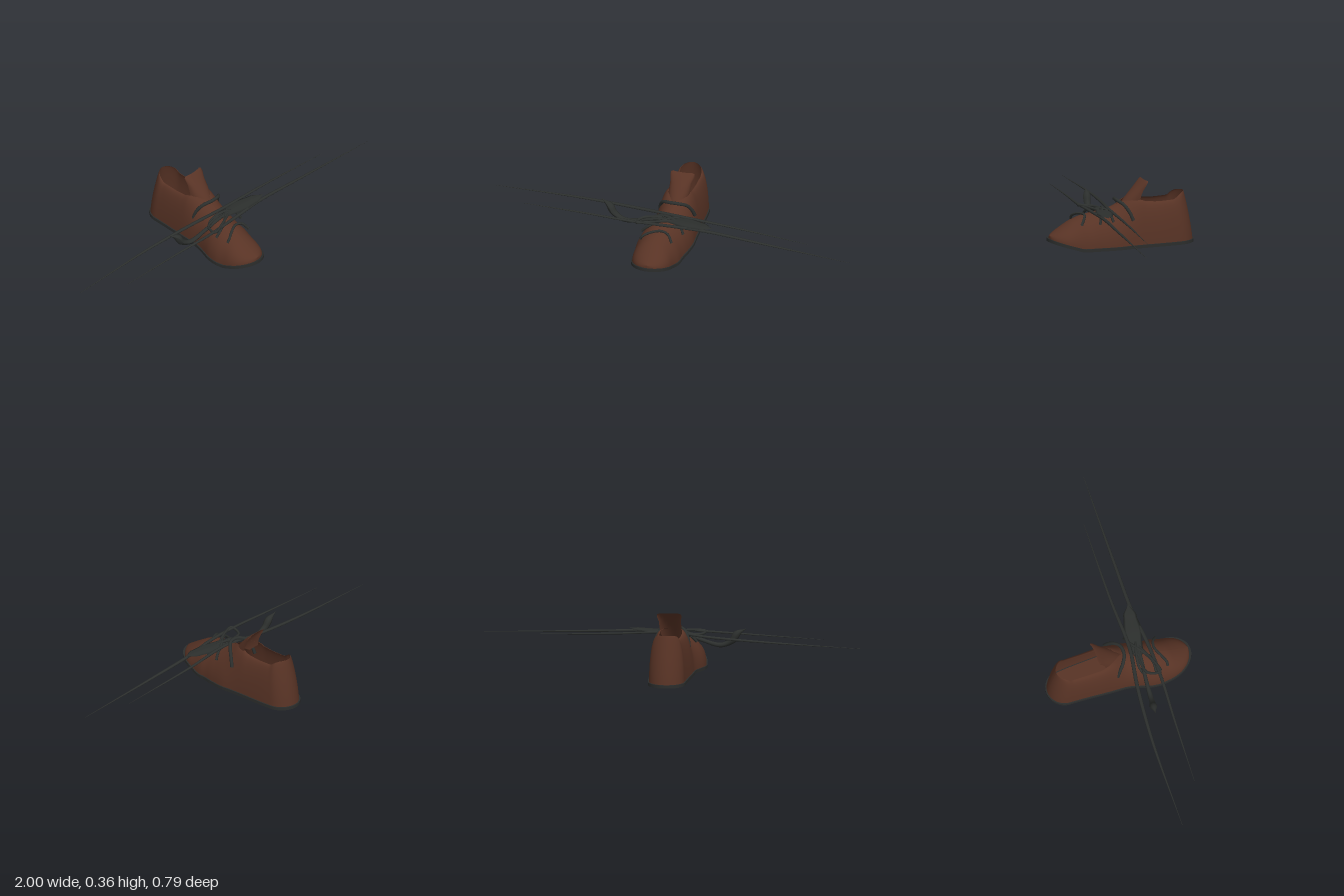
import * as THREE from 'three';

const mat = (color, flatShading = false) =>
  new THREE.MeshStandardMaterial({ color, flatShading, roughness: 0.9, side: THREE.DoubleSide });

// smooth interpolation through [z, value] pairs with rising z
function table(pairs, smooth = true) {
  return (z) => {
    let i = 0;
    while (i < pairs.length - 2 && z > pairs[i + 1][0]) i++;
    const [a, va] = pairs[i], [b, vb] = pairs[i + 1];
    const t = THREE.MathUtils.clamp((z - a) / (b - a), 0, 1);
    return va + (vb - va) * (smooth ? t * t * (3 - 2 * t) : t);
  };
}

// surface through rows of [x, y, z] points
function sheet(name, rows, material) {
  const n = rows[0].length, index = [];
  for (let i = 0; i < rows.length - 1; i++)
    for (let j = 0; j < n - 1; j++) {
      const a = i * n + j, b = a + n;
      index.push(a, b, a + 1, b, b + 1, a + 1);
    }
  const geo = new THREE.BufferGeometry();
  geo.setAttribute('position', new THREE.Float32BufferAttribute(rows.flat(2), 3));
  geo.setIndex(index);
  geo.computeVertexNormals();
  const mesh = new THREE.Mesh(geo, material);
  mesh.name = name;
  return mesh;
}

// tube along points; size(t) gives its radius, flat squashes it vertically
function lace(name, points, size, material, flat = 1) {
  const curve = new THREE.CatmullRomCurve3(points.map((p) => new THREE.Vector3(...p)));
  const seg = 40, sides = 8;
  const geo = new THREE.TubeGeometry(curve, seg, 1, sides);
  const pos = geo.attributes.position, v = new THREE.Vector3();
  for (let i = 0; i < pos.count; i++) {
    const t = Math.floor(i / (sides + 1)) / seg, c = curve.getPointAt(t);
    v.fromBufferAttribute(pos, i).sub(c).multiplyScalar(size(t));
    v.y *= flat;
    v.add(c);
    pos.setXYZ(i, v.x, v.y, v.z);
  }
  geo.computeVertexNormals();
  const mesh = new THREE.Mesh(geo, material);
  mesh.name = name;
  return mesh;
}

// plan outline and side profile of the shoe
const centre = table([[-0.3, 0], [0, -0.013], [0.2, -0.052], [0.28, -0.06], [0.4, -0.06]]);
const half = table([[-0.4, 0.086], [-0.25, 0.096], [0, 0.11], [0.13, 0.124], [0.2, 0.122], [0.28, 0.107], [0.4, 0.1]], false);
const sole = table([[-0.39, 0.012], [0, 0.01], [0.235, 0.003], [0.396, 0.05]], false);
const top = table([[-0.39, 0.284], [-0.36, 0.28], [-0.32, 0.268], [-0.28, 0.25], [-0.18, 0.245], [-0.11, 0.25],
  [-0.085, 0.262], [-0.04, 0.262], [0, 0.25], [0.05, 0.222], [0.1, 0.203], [0.22, 0.175], [0.27, 0.153], [0.385, 0.08]], false);
const opening = table([[-0.4, 0.058], [-0.09, 0.058], [-0.03, 0.035], [0.02, 0]], false);

const roundEnds = (z, back, front) => {
  const d = z < -0.3 ? (-0.3 - z) / (-0.3 - back) : z > 0.27 ? (z - 0.27) / (front - 0.27) : 0;
  return Math.sqrt(Math.max(0, 1 - d * d));
};

// stations packed closer at heel and toe
function stations(back, front, n, row) {
  return Array.from({ length: n + 1 }, (_, i) => {
    const z = back + (front - back) * (1 - Math.cos((Math.PI * i) / n)) / 2;
    return row(z, roundEnds(z, back, front));
  });
}

export function createModel() {
  const group = new THREE.Group();
  group.name = 'lacedShoe';
  const leather = mat(0x583325), edge = mat(0x2b2d2c, true), cord = mat(0x2c2f2d);

  // sole: dark welt, leather underside and insole
  const T = 0.017;
  group.add(sheet('welt', stations(-0.393, 0.397, 48, (z, f) => {
    const c = centre(z), w = (half(z) + 0.006) * f, y = sole(z);
    return [[c - w, y, z], [c - w, y + T, z], [c + w, y + T, z], [c + w, y, z]];
  }), edge));
  group.add(sheet('outsole', stations(-0.393, 0.397, 48, (z, f) => {
    const c = centre(z), w = (half(z) + 0.006) * f;
    return [[c - w, sole(z), z], [c + w, sole(z), z]];
  }), mat(0x4a2b1f)));
  group.add(sheet('insole', stations(-0.38, 0.37, 40, (z, f) => {
    const c = centre(z), w = (half(z) - 0.006) * f, y = sole(z) + T + 0.004;
    return [[c - w, y, z], [c + w, y, z]];
  }), leather));

  // upper: one wall per side, meeting over the vamp and at the heel
  for (const s of [-1, 1]) {
    const rows = stations(-0.388, 0.385, 64, (z, f) => {
      const c = centre(z), w = half(z) * f, r = opening(z) * f;
      const y0 = sole(z) + T - 0.002, y1 = top(z), row = [];
      const k = THREE.MathUtils.smoothstep(-z, 0.22, 0.388);
      for (let j = 0; j <= 14; j++) {
        const a = (j / 14) * Math.PI / 2;
        const y = y0 + (y1 - y0) * Math.sin(a);
        const lean = 0.05 * k * Math.pow(y / 0.284, 1.4);
        row.push([c + s * (r + (w - r) * Math.cos(a)), y, z + lean]);
      }
      return row;
    });
    group.add(sheet(s > 0 ? 'leftUpper' : 'rightUpper', rows, leather));
  }

  // tongue: [height, front z, edge z, half width, centre x]
  const tongue = [[0.2, 0.03, -0.03, 0.045, -0.01], [0.245, 0, -0.08, 0.056, -0.008], [0.28, -0.03, -0.086, 0.058, -0.005],
    [0.312, -0.06, -0.1, 0.058, -0.003], [0.34, -0.09, -0.113, 0.065, 0], [0.354, -0.108, -0.121, 0.064, 0], [0.359, -0.116, -0.124, 0.05, 0]];
  group.add(sheet('tongue', tongue.map(([y, zf, ze, w, c]) =>
    Array.from({ length: 13 }, (_, j) => {
      const a = (j / 12 - 0.5) * Math.PI;
      return [c + w * Math.sin(a), y, ze + (zf - ze) * Math.cos(a)];
    })), leather));

  // lace loops over the instep and toe
  const loop = (name, pts, r) => group.add(lace(name, pts, () => r, cord));
  loop('ankleLoop', [[-0.1, 0.16, -0.03], [-0.092, 0.205, -0.015], [-0.07, 0.245, 0.012], [-0.03, 0.26, 0.035],
    [0.02, 0.26, 0.035], [0.055, 0.24, 0.01], [0.078, 0.2, -0.015], [0.09, 0.16, -0.03]], 0.009);
  loop('middleLoop', [[-0.13, 0.165, 0.1], [-0.1, 0.195, 0.09], [-0.04, 0.217, 0.1], [0.02, 0.213, 0.12],
    [0.06, 0.18, 0.14], [0.075, 0.15, 0.15]], 0.007);
  loop('crossLoop', [[-0.145, 0.15, 0.17], [-0.1, 0.19, 0.17], [-0.04, 0.21, 0.14], [0.02, 0.215, 0.1],
    [0.07, 0.185, 0.085], [0.085, 0.16, 0.08]], 0.007);
  loop('toeLoop', [[-0.135, 0.145, 0.24], [-0.12, 0.165, 0.24], [-0.085, 0.182, 0.225], [-0.03, 0.188, 0.205],
    [0.01, 0.178, 0.215], [0.035, 0.145, 0.238]], 0.007);

  // long straight laces, tapering to both tips
  const taper = (r) => (t) => 0.001 + r * Math.pow(Math.sin(Math.PI * t), 1.2);
  group.add(lace('rearLongLace', [[-1, 0.165, -0.03], [-0.5, 0.186, 0], [-0.2, 0.2, 0.04], [0, 0.215, 0.08],
    [0.3, 0.203, 0.092], [0.75, 0.186, 0.125]], taper(0.009), cord, 0.7));
  group.add(lace('frontLongLace', [[-0.8, 0.18, 0.12], [-0.45, 0.194, 0.15], [-0.2, 0.203, 0.175], [0, 0.21, 0.18],
    [0.2, 0.205, 0.172], [0.5, 0.193, 0.19], [1, 0.176, 0.225]], taper(0.009), cord, 0.7));

  // bow: broad flat end on the left, curled end on the right
  const profile = (pairs) => table(pairs, true);
  group.add(lace('broadBow', [[-0.09, 0.207, 0.1], [0, 0.21, 0.118], [0.1, 0.213, 0.135], [0.24, 0.221, 0.165]],
    profile([[0, 0.008], [0.25, 0.032], [0.55, 0.047], [0.8, 0.035], [1, 0.001]]), cord, 0.12));
  group.add(lace('curledBow', [[0, 0.212, 0.125], [-0.08, 0.2, 0.115], [-0.16, 0.172, 0.102], [-0.26, 0.15, 0.09],
    [-0.32, 0.178, 0.08], [-0.345, 0.215, 0.074], [-0.39, 0.243, 0.066]],
  profile([[0, 0.008], [0.4, 0.01], [0.65, 0.013], [0.85, 0.02], [1, 0.002]]), cord));
  group.add(lace('sideBow', [[0, 0.21, 0.13], [-0.1, 0.212, 0.17], [-0.17, 0.205, 0.185], [-0.15, 0.2, 0.12], [-0.04, 0.208, 0.1]],
    () => 0.007, cord));
  return group;
}
